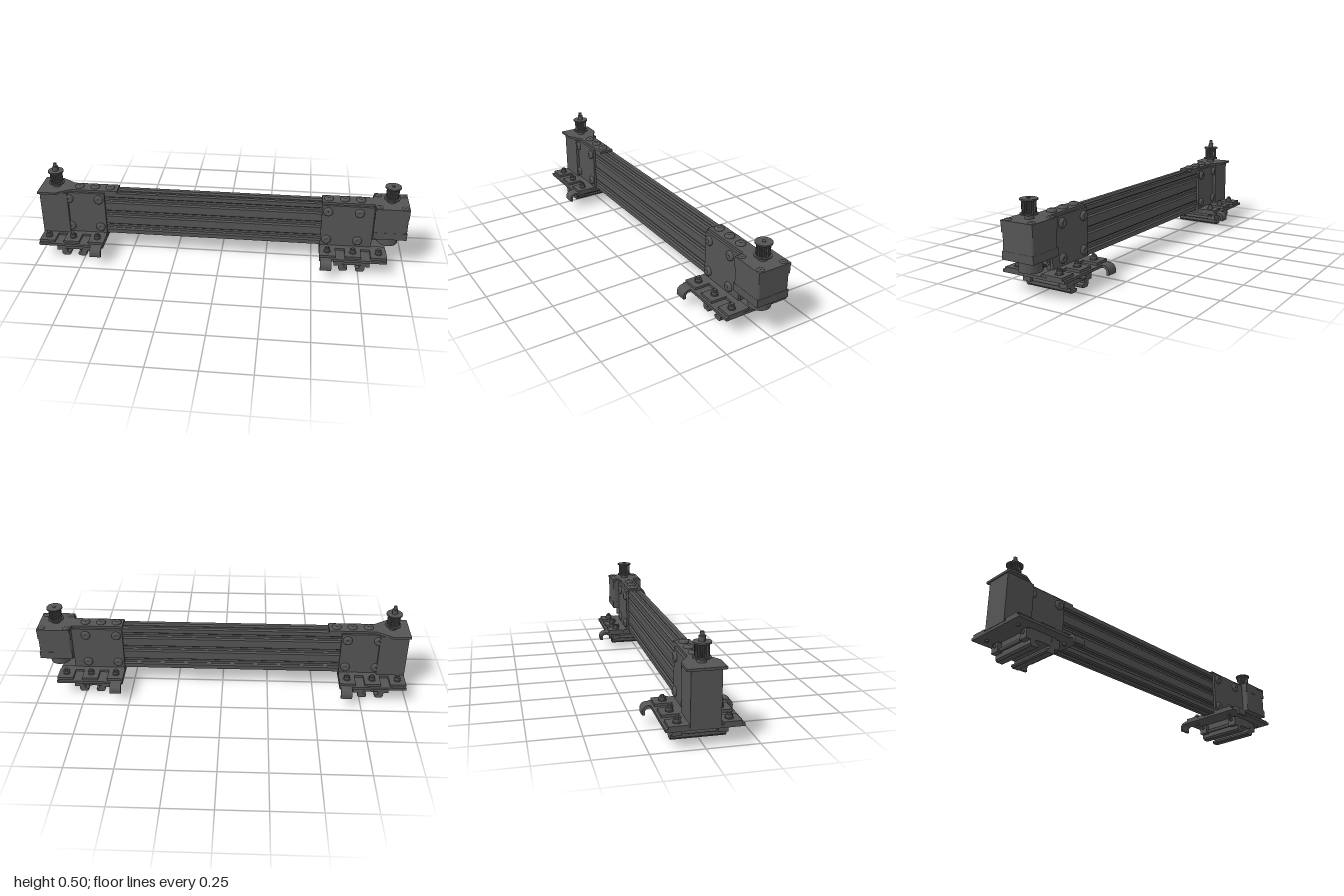
import * as THREE from 'three';
import { RoundedBoxGeometry } from 'three/addons/geometries/RoundedBoxGeometry.js';

export function createModel() {
  const metal = new THREE.MeshStandardMaterial({ color: 0x555555 });
  metal.name = 'dark metal';
  const root = new THREE.Group();
  root.name = 'linearActuator';

  const add = (parent, name, geo, x = 0, y = 0, z = 0) => {
    const m = new THREE.Mesh(geo, metal);
    m.name = name;
    m.position.set(x, y, z);
    parent.add(m);
    return m;
  };
  const group = (parent, name, x = 0, y = 0, z = 0) => {
    const g = new THREE.Group();
    g.name = name;
    g.position.set(x, y, z);
    parent.add(g);
    return g;
  };
  // box given by its minimum and maximum corners
  const box = (parent, name, x0, x1, y0, y1, z0, z1) =>
    add(parent, name, new THREE.BoxGeometry(x1 - x0, y1 - y0, z1 - z0),
      (x0 + x1) / 2, (y0 + y1) / 2, (z0 + z1) / 2);
  // upright cylinder between two heights
  const cyl = (parent, name, r, y0, y1, x = 0, z = 0, sides = 24) =>
    add(parent, name, new THREE.CylinderGeometry(r, r, y1 - y0, sides), x, (y0 + y1) / 2, z);
  const shapeOf = pts => new THREE.Shape(pts.map(p => new THREE.Vector2(p[0], p[1])));
  const extrude = (pts, depth) =>
    new THREE.ExtrudeGeometry(shapeOf(pts), { depth, bevelEnabled: false });
  const lathe = pts => new THREE.LatheGeometry(pts.map(p => new THREE.Vector2(p[0], p[1])), 20);
  const domeHead = r => lathe([[r, 0], [r, 0.005], [r * 0.85, 0.011], [r * 0.45, 0.015], [r * 0.4, 0.009], [0, 0.009]]);

  // Slotted rail: three V-slots per side, one on top and bottom
  const slot = [[0.019, 0], [0.012, -0.009], [0.012, -0.013], [0.02, -0.013], [0.009, -0.024]];
  const slotPath = [...slot, ...slot.slice().reverse().map(([a, d]) => [-a, d])];
  const h = 0.04, half = 0.125, profile = [];
  profile.push([h, half]);
  for (const c of [0.083, 0, -0.083]) slotPath.forEach(([a, d]) => profile.push([h + d, c + a]));
  profile.push([h, -half]);
  slotPath.forEach(([a, d]) => profile.push([a, -half - d]));
  profile.push([-h, -half]);
  for (const c of [-0.083, 0, 0.083]) slotPath.forEach(([a, d]) => profile.push([-h - d, c - a]));
  profile.push([-h, half]);
  slotPath.forEach(([a, d]) => profile.push([-a, half + d]));
  const railGeo = extrude(profile.reverse(), 1.71);
  railGeo.rotateY(Math.PI / 2);
  add(root, 'rail', railGeo, -0.9, 0.23, 0);

  // Toothed belt pulley standing on y = 0.365
  function pulley(x, name) {
    const g = group(root, name, x);
    cyl(g, 'hub', 0.022, 0.365, 0.388);
    cyl(g, 'lowerFlange', 0.042, 0.386, 0.392, 0, 0, 32);
    const teeth = [];
    for (let i = 0; i < 80; i++) {
      const r = i % 4 < 2 ? 0.034 : 0.028, a = (i / 80) * Math.PI * 2;
      teeth.push([r * Math.cos(a), r * Math.sin(a)]);
    }
    const t = extrude(teeth, 0.062);
    t.rotateX(-Math.PI / 2);
    add(g, 'teeth', t, 0, 0.391, 0);
    cyl(g, 'upperFlange', 0.042, 0.452, 0.459, 0, 0, 32);
    cyl(g, 'shaft', 0.009, 0.36, 0.463);
    return g;
  }

  // Sheet strip with both ends bent down, running across the rail
  const bentStrip = (() => {
    const top = 0.1, th = 0.014, R = 0.03, pts = [];
    const arc = (r, s) => {
      const a = [];
      for (let i = 0; i <= 6; i++) {
        const t = (i / 6) * Math.PI / 2;
        a.push([s * (0.189 + r * Math.sin(t)), top - R + r * Math.cos(t)]);
      }
      return a;
    };
    pts.push(...arc(R, 1), [0.219, 0.053], [0.189 + R - th, 0.053], ...arc(R - th, 1).reverse());
    pts.push(...arc(R - th, -1), [-0.189 - R + th, 0.053], [-0.219, 0.053], ...arc(R, -1).reverse());
    const g = extrude(pts.reverse(), 0.06);
    g.translate(0, 0, -0.03);
    g.rotateY(Math.PI / 2);
    return g;
  })();

  // Mount at each end; s = 1 is the motor end, local +x points outwards when s = 1
  function mount(cx, s, name) {
    const g = group(root, name, cx);
    const span = (n, a, b, ...rest) => box(g, n, Math.min(s * a, s * b), Math.max(s * a, s * b), ...rest);
    span('basePlate', -0.178, 0.178, 0.086, 0.1, -0.178, 0.178);
    add(g, 'bentStrip', bentStrip, s * -0.142, 0, 0);
    for (const side of [1, -1]) {
      const z = (a, b) => [Math.min(side * a, side * b), Math.max(side * a, side * b)];
      span('sidePlate', -0.175, 0.1, 0.1, 0.355, ...z(0.041, 0.054));
      span('footStrip', -0.175, 0.175, 0.1, 0.112, ...z(0.045, 0.085));
      for (const x of [-0.135, 0, 0.135]) {
        box(g, 'footTab', x - 0.043, x + 0.043, 0.1, 0.113, ...z(0.08, 0.165));
        cyl(g, 'footWasher', 0.02, 0.112, 0.117, x, side * 0.118);
        cyl(g, 'footNut', 0.017, 0.117, 0.132, x, side * 0.118, 6);
        cyl(g, 'footStud', 0.009, 0.075, 0.14, x, side * 0.118, 16);
      }
      for (const x of [-0.142, 0.024]) for (const y of [0.148, 0.318]) {
        const b = add(g, 'sideBolt', domeHead(0.025), s * x, y, side * 0.054);
        b.rotation.x = side * Math.PI / 2;
      }
    }

    // Sliding carriage under the base plate
    const c = group(g, 'carriage');
    box(c, 'carriageBody', -0.075, 0.075, 0.038, 0.086, -0.128, 0.128);
    for (const m of [1, -1]) {
      const foot = extrude([[0.03, 0], [0.062, 0], [0.07, 0.01], [0.07, 0.04], [0.04, 0.04], [0.04, 0.022], [0.022, 0.016], [0.022, 0.006]], 0.26);
      foot.translate(0, 0, -0.13);
      if (m < 0) foot.rotateY(Math.PI);
      add(c, 'carriageFoot', foot);
      const rod = add(c, 'carriageRod', new THREE.CapsuleGeometry(0.009, 0.145, 4, 12), m * 0.083, 0.04, 0);
      rod.rotation.x = Math.PI / 2;
      for (const e of [1, -1]) {
        box(c, 'carriageEnd', m > 0 ? 0.05 : -0.096, m > 0 ? 0.096 : -0.05, 0.03, 0.08,
          e > 0 ? 0.083 : -0.13, e > 0 ? 0.13 : -0.083);
        const screw = add(c, 'endScrew', domeHead(0.01), m * 0.094, 0.064, e * 0.105);
        screw.rotation.z = -m * Math.PI / 2;
      }
    }
    const nipple = add(c, 'greaseNipple', new THREE.CapsuleGeometry(0.011, 0.03, 4, 12), 0, 0.068, -0.14);
    nipple.rotation.x = Math.PI / 2;
    return g;
  }
  mount(0.716, 1, 'motorMount');
  mount(-0.812, -1, 'idlerMount');

  // Top plates: a square head tapering into a strip over the rail
  function topPlate(s, head, neck, taper, end, name) {
    const pts = [[head, 0.09], [neck, 0.09], [taper, 0.04], [end, 0.04],
      [end, -0.04], [taper, -0.04], [neck, -0.09], [head, -0.09]];
    const g = extrude(pts.map(([x, z]) => [s * x, z]), 0.012);
    g.rotateX(-Math.PI / 2);
    add(root, name, g, 0, 0.355, 0);
  }
  topPlate(1, 0.995, 0.82, 0.815, 0.54, 'motorTopPlate');
  topPlate(-1, 0.998, 0.9, 0.82, 0.57, 'idlerTopPlate');
  for (const x of [0.575, 0.66, 0.745, -0.783, -0.697, -0.612])
    add(root, 'topBolt', domeHead(0.025), x, 0.367, 0);

  // Motor with lower housing
  const motor = group(root, 'motor', 0.905);
  add(motor, 'motorBody', new RoundedBoxGeometry(0.176, 0.17, 0.176, 3, 0.012), 0, 0.27, 0);
  box(motor, 'motorCap', -0.089, 0.089, 0.311, 0.355, -0.089, 0.089);
  box(motor, 'motorBase', -0.089, 0.089, 0.185, 0.225, -0.089, 0.089);
  cyl(motor, 'motorHousing', 0.055, 0.125, 0.187, 0, 0, 40);
  for (const x of [-0.066, 0.066]) for (const z of [-0.066, 0.066])
    add(motor, 'motorBolt', domeHead(0.018), x, 0.365, z).scale.y = 0.6;
  pulley(0.905, 'drivePulley');

  // Idler block with its pulley and lock nut
  box(root, 'idlerBlock', -0.992, -0.84, 0.1, 0.355, -0.07, 0.07);
  const idler = pulley(-0.91, 'idlerPulley');
  cyl(idler, 'lockNut', 0.016, 0.459, 0.485, 0, 0, 6);
  cyl(idler, 'boltTip', 0.009, 0.485, 0.503, 0, 0, 16);
  return root;
}
